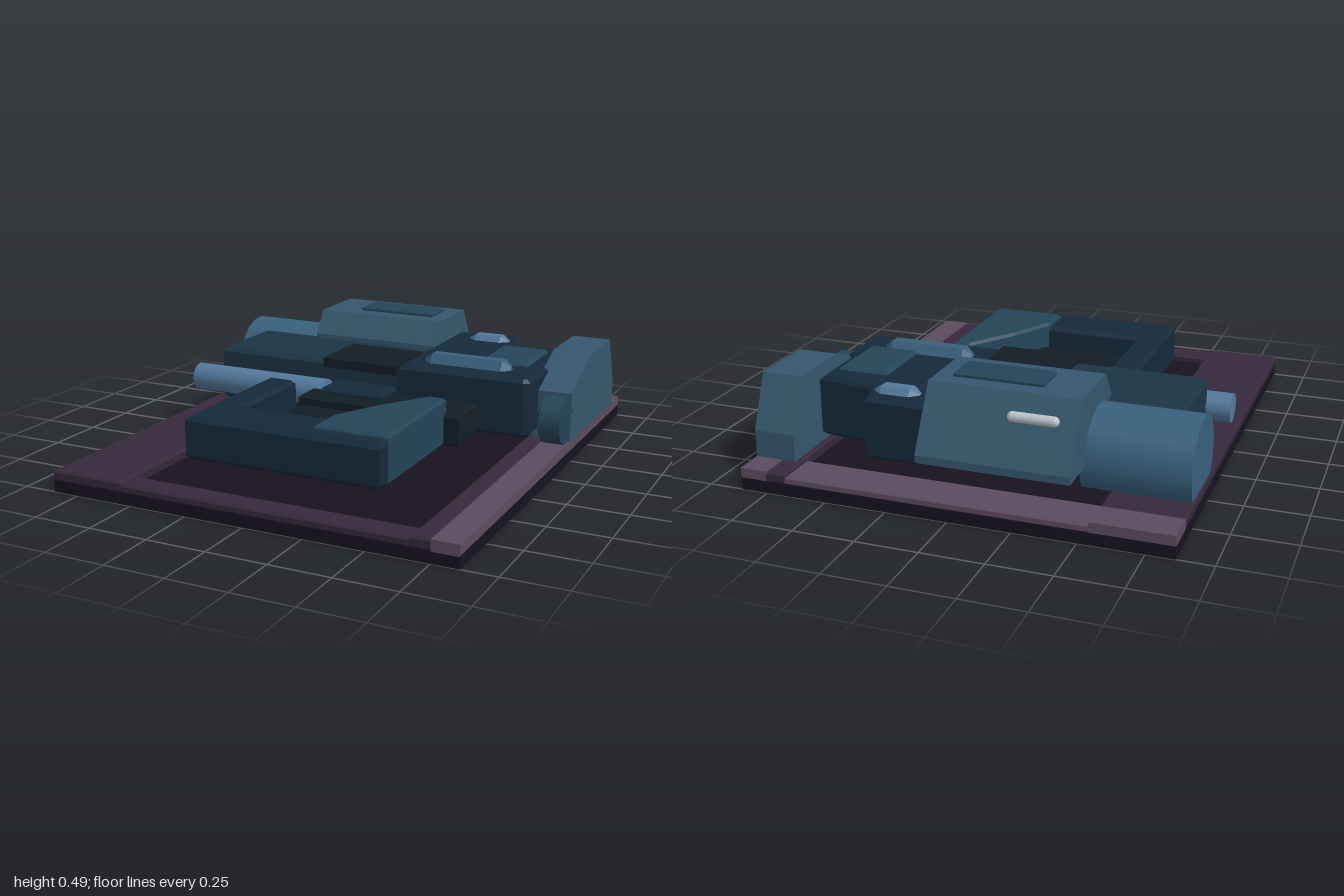
import * as THREE from 'three';
import { toCreasedNormals } from 'three/addons/utils/BufferGeometryUtils.js';

const C = {
  floor: 0x17121f, trim: 0x35283b, trimLight: 0x5c4a60,
  black: 0x111d26, navy: 0x14293a, slate: 0x1b3444, teal: 0x234558,
  steel: 0x35566d, blue: 0x38607c, pipe: 0x52789a, lamp: 0xb9c2c8,
};

export function createModel() {
  const model = new THREE.Group();

  const add = (name, color, geometry, flat = true) => {
    const mesh = new THREE.Mesh(geometry, new THREE.MeshStandardMaterial({ color, flatShading: flat }));
    mesh.name = name;
    model.add(mesh);
    return mesh;
  };
  const outline = (pts) => new THREE.Shape(pts.map(([a, b]) => new THREE.Vector2(a, b)));

  // plan outline in (x, z), raised from y0 to y1 with chamfered edges
  const slab = (name, color, pts, y0, y1, bevel = 0.012) => {
    const g = new THREE.ExtrudeGeometry(outline(pts.map(([x, z]) => [x, -z])), {
      depth: y1 - y0 - 2 * bevel, bevelEnabled: bevel > 0, bevelSize: bevel,
      bevelThickness: bevel, bevelOffset: -bevel, bevelSegments: 1,
    });
    g.rotateX(-Math.PI / 2).translate(0, y0 + bevel, 0);
    return add(name, color, g);
  };
  const block = (name, color, x0, x1, y0, y1, z0, z1, bevel = 0.012) =>
    slab(name, color, [[x0, z0], [x1, z0], [x1, z1], [x0, z1]], y0, y1, bevel);

  // side profile in (z, y), running from x0 to x1
  const profile = (name, color, pts, x0, x1) => {
    const g = new THREE.ExtrudeGeometry(outline(pts), { depth: x1 - x0, bevelEnabled: false });
    g.rotateY(-Math.PI / 2).translate(x1, 0, 0);
    return add(name, color, g);
  };

  // round bar along x, flattened below yMin
  const bar = (name, color, x0, x1, y, z, r, yMin = 0) => {
    const g = new THREE.CylinderGeometry(r, r, x1 - x0, 40);
    g.rotateZ(Math.PI / 2).translate((x0 + x1) / 2, y, z);
    const p = g.attributes.position;
    for (let i = 0; i < p.count; i++) p.setY(i, Math.max(p.getY(i), yMin));
    return add(name, color, toCreasedNormals(g, 0.5), false);
  };

  // six-sided bar along x with tapered ends
  const handle = (name, color, x0, x1, y, z, ry, rz) => {
    const half = (x1 - x0) / 2;
    const g = new THREE.LatheGeometry([
      [0, -half], [0.35, -half], [1, -half + 0.035], [1, half - 0.035], [0.35, half], [0, half],
    ].map(([a, b]) => new THREE.Vector2(a, b)), 6);
    g.rotateZ(Math.PI / 2).scale(1, ry, rz).translate((x0 + x1) / 2, y, z);
    return add(name, color, g);
  };

  // base tray and its raised border
  block('baseSlab', C.floor, -0.86, 0.86, 0, 0.05, -1, 1, 0);
  block('borderRight', C.trim, -0.86, -0.54, 0.045, 0.09, -0.86, 1, 0.008);
  block('borderRightCorner', C.trimLight, -0.86, -0.54, 0.045, 0.09, -1, -0.86, 0);
  block('borderLeftInner', C.trim, 0.67, 0.75, 0.045, 0.09, -1, 1, 0.008);
  block('borderLeftOuter', C.trimLight, 0.75, 0.86, 0.045, 0.09, -1, 1, 0);
  block('borderFront', C.trim, -0.54, 0.67, 0.045, 0.08, 0.89, 1, 0.008);
  block('borderBack', C.trimLight, -0.54, 0.67, 0.045, 0.08, -1, -0.83, 0.008);

  // angled front frame around a dark recess
  slab('frontFrame', C.navy, [
    [-0.43, 0.04], [-0.30, 0.04], [-0.30, 0.48], [0.42, 0.48], [0.42, 0.71], [-0.43, 0.71],
  ], 0.11, 0.29, 0.018);
  block('recessBlock', C.black, -0.25, 0.42, 0.11, 0.2, 0.05, 0.47);
  block('linkBlock', C.black, -0.25, 0.49, 0.11, 0.245, -0.12, 0.105);
  slab('frontWedge', C.teal, [
    [0.11, 0.64], [0.11, 0.49], [0.21, 0.29], [0.35, 0.08], [0.425, 0.08], [0.425, 0.64],
  ], 0.11, 0.31);

  // middle housings
  block('rightHousing', C.slate, -0.76, 0.14, 0.11, 0.355, -0.5, -0.11, 0.02);
  slab('leftHousing', C.navy, [
    [0.125, -0.82], [0.41, -0.82], [0.45, -0.69], [0.685, -0.66], [0.685, -0.4],
    [0.715, -0.35], [0.715, -0.12], [0.69, -0.10], [0.125, -0.10],
  ], 0.12, 0.37, 0.015);
  block('centreCap', C.black, -0.22, 0.13, 0.33, 0.372, -0.36, -0.07, 0);
  block('centreStep', C.navy, -0.18, 0.11, 0.2, 0.27, -0.12, 0.045);
  block('leftPanel', C.teal, 0.43, 0.64, 0.36, 0.39, -0.58, -0.29);
  handle('frontHandle', C.blue, 0.20, 0.59, 0.37, -0.24, 0.045, 0.047);
  handle('backHandle', C.pipe, 0.22, 0.41, 0.362, -0.715, 0.038, 0.048);

  // sloped rear cover with its hatch and lamp
  profile('rearCover', C.steel, [
    [-0.46, 0.2], [-0.46, 0.375], [-0.53, 0.475], [-0.82, 0.475], [-0.96, 0.23], [-0.96, 0.2],
  ], -0.46, 0.14);
  block('rearHatch', C.teal, -0.29, 0.07, 0.47, 0.49, -0.75, -0.6, 0.005);
  const lampShape = new THREE.CapsuleGeometry(0.02, 0.16, 6, 16);
  lampShape.rotateZ(Math.PI / 2).translate(-0.29, 0.395, -0.867);
  add('rearLamp', C.lamp, lampShape, false);

  // barrels on the right side
  bar('largeBarrel', C.blue, -0.86, -0.44, 0.205, -0.61, 0.18, 0.105);
  bar('smallBarrel', C.pipe, -0.86, -0.2, 0.217, -0.065, 0.06);

  // left side pod and its rounded nose
  profile('sidePod', C.steel, [
    [-0.23, 0.09], [-0.23, 0.3], [-0.5, 0.412], [-0.79, 0.412], [-0.88, 0.2], [-0.88, 0.09],
  ], 0.69, 0.86);
  const nose = new THREE.LatheGeometry(
    [[0, 0], [0.03, 0], [0.1, 0.03], [0.1, 0.12], [0, 0.12]].map(([r, h]) => new THREE.Vector2(r, h)), 20);
  nose.rotateZ(-Math.PI / 2).translate(0.74, 0.2, -0.17);
  add('podNose', C.teal, toCreasedNormals(nose, 0.5), false);

  return model;
}
